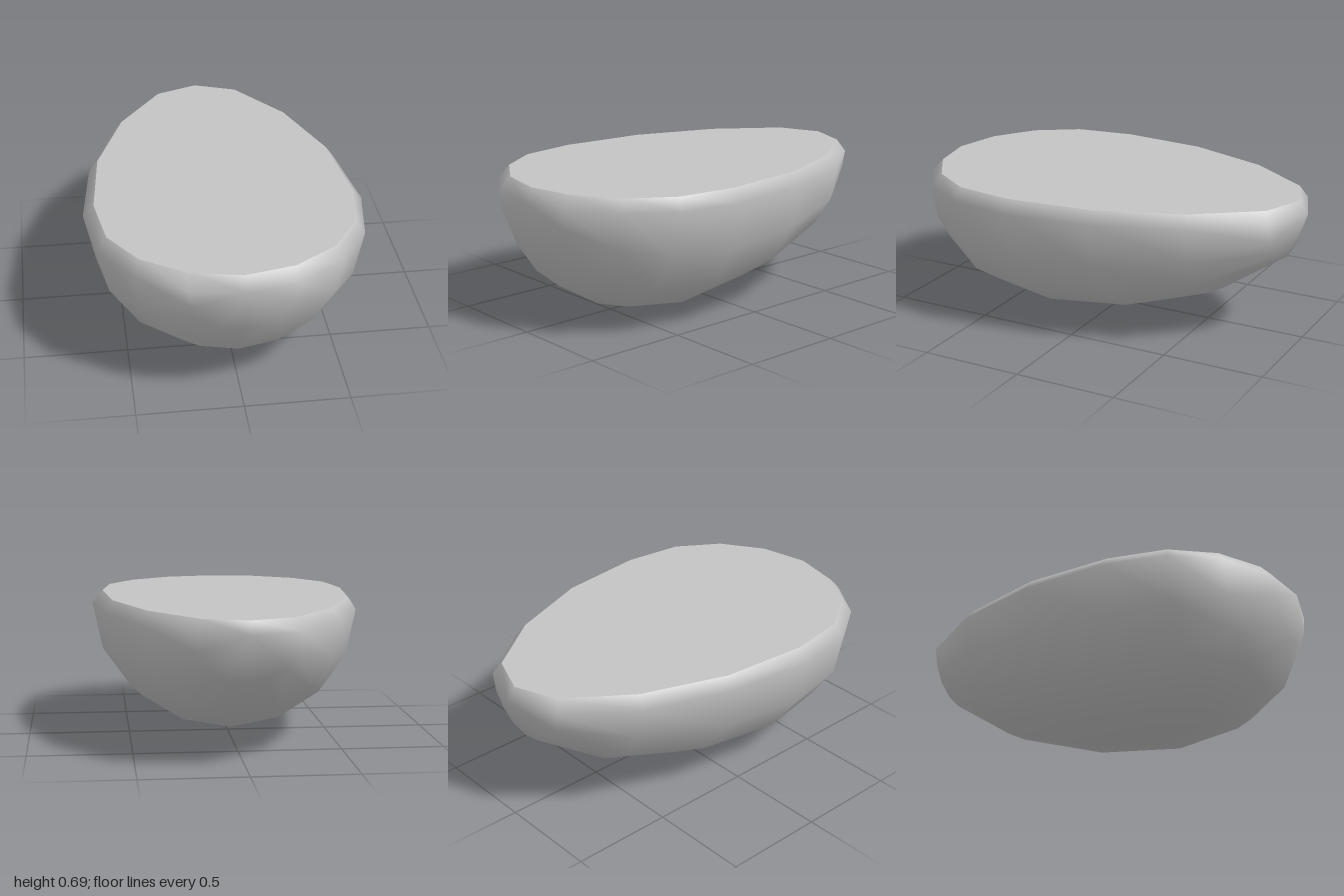
import * as THREE from 'three';
import { mergeVertices } from 'three/addons/utils/BufferGeometryUtils.js';

const RIM_Y = 0.63, TOP_Y = 0.69, STEPS = 8;

// Egg sections from back to front: [z, radius, z of lid edge, half width of lid]
const SECTIONS = [
  [-1, 0, -0.955, 0],
  [-0.905, 0.245, -0.875, 0.21],
  [-0.59, 0.477, -0.57, 0.43],
  [-0.165, 0.624, -0.16, 0.58],
  [0.26, 0.675, 0.27, 0.622],
  [0.58, 0.624, 0.56, 0.58],
  [0.805, 0.477, 0.765, 0.445],
  [0.955, 0.25, 0.9, 0.24],
  [1, 0, 0.95, 0],
];

// Joins rows of points into a smooth surface, dropping collapsed triangles at the tips
function skin(rows) {
  const cols = rows[0].length;
  const geometry = new THREE.BufferGeometry();
  geometry.setAttribute('position', new THREE.Float32BufferAttribute(rows.flat(2), 3));
  const index = [];
  for (let j = 0; j < rows.length - 1; j++) {
    for (let i = 0; i < cols - 1; i++) {
      const a = j * cols + i, b = a + 1, c = a + cols, d = c + 1;
      index.push(a, c, b, b, c, d);
    }
  }
  geometry.setIndex(index);
  const merged = mergeVertices(geometry, 1e-4);
  const ids = Array.from(merged.index.array), kept = [];
  for (let k = 0; k < ids.length; k += 3) {
    const [a, b, c] = ids.slice(k, k + 3);
    if (a !== b && b !== c && c !== a) kept.push(a, b, c);
  }
  merged.setIndex(kept);
  merged.computeVertexNormals();
  return merged;
}

export function createModel() {
  const group = new THREE.Group();
  group.name = 'halfEgg';
  const grey = new THREE.MeshStandardMaterial({ color: 0xc4c4c4 });
  grey.name = 'light grey';

  // Rounded underside with the bevelled rim at both ends of each section
  const shellRows = SECTIONS.map(([z, r, lidZ, lidX]) => {
    const row = [[lidX, TOP_Y, lidZ]];
    for (let i = 0; i <= STEPS; i++) {
      const angle = (i / STEPS) * Math.PI;
      row.push([r * Math.cos(angle), RIM_Y - (RIM_Y / 0.675) * r * Math.sin(angle), z]);
    }
    row.push([-lidX, TOP_Y, lidZ]);
    return row;
  });
  const shell = new THREE.Mesh(skin(shellRows), grey);
  shell.name = 'shell';

  // Flat cut face
  const lidRows = SECTIONS.map(([, , z, x]) => [[-x, TOP_Y, z], [x, TOP_Y, z]]);
  const lid = new THREE.Mesh(skin(lidRows), grey);
  lid.name = 'flatTop';

  group.add(shell, lid);
  return group;
}
